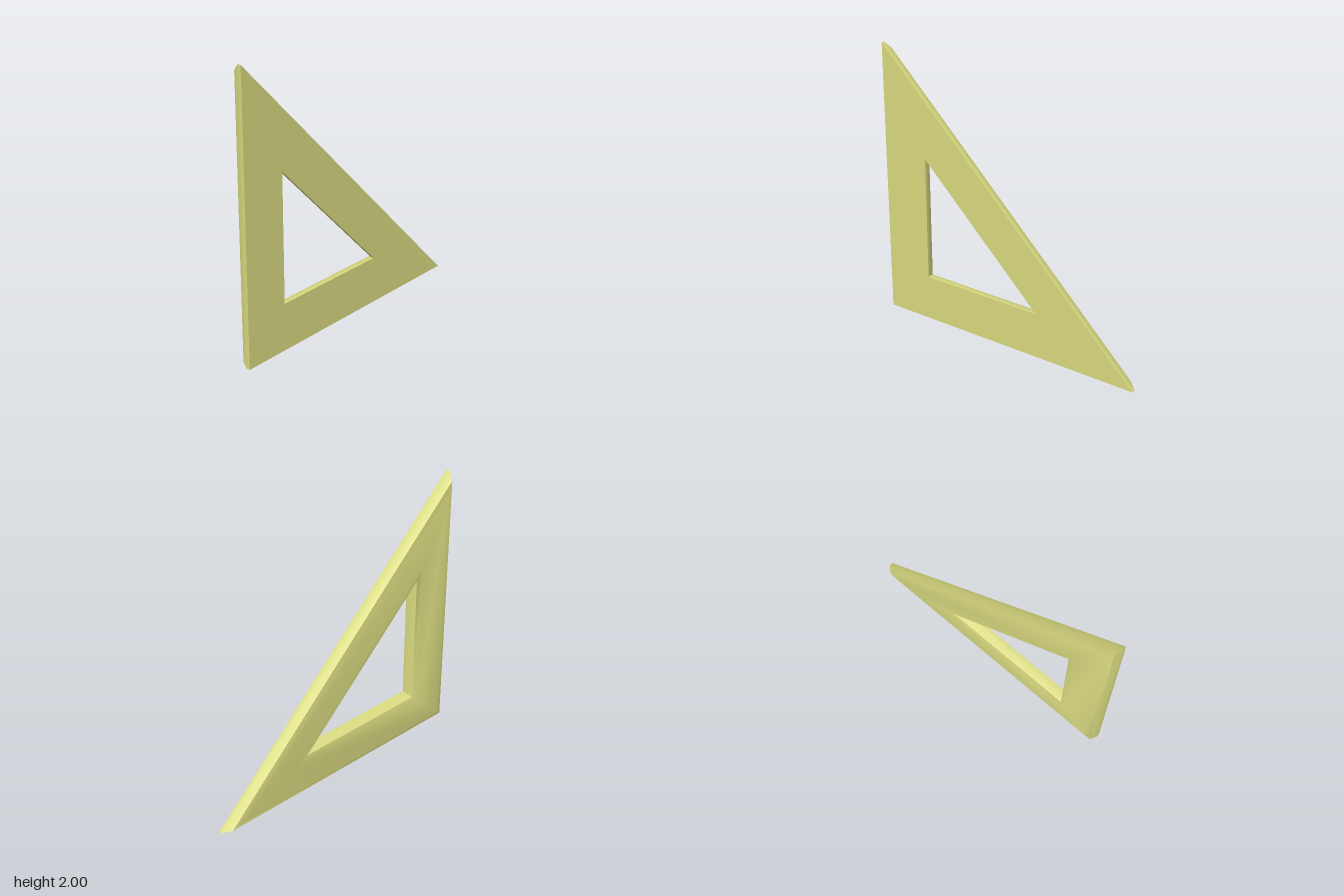
import * as THREE from 'three';
import { toCreasedNormals } from 'three/addons/utils/BufferGeometryUtils.js';

const K = 1 + Math.SQRT2; // how far a 45 degree tip retreats per unit of inset

// Corners of a right triangle inset by d, standing in the plane at x
function triangle(start, leg, d, x) {
  const near = start + d;
  const far = start + leg - d * K;
  return [[near, near], [far, near], [near, far]]
    .map(([a, y]) => [x, y, 1 - a]);
}

export function createModel() {
  const yellow = new THREE.MeshStandardMaterial({ color: 0xd9da80 });

  // Edge profile as [x, inset], from the flat side to the bevelled side
  const edge = [[0.045, 0], [0.02, 0], [-0.03, 0.022], [-0.045, 0.067]];
  const rings = [
    ...edge.map(([x, d]) => triangle(0, 2, d, x)),
    ...edge.map(([x, d]) => triangle(0.335, 0.905, -d, x)).reverse(),
  ];

  // Sweep the closed profile round the three corners
  const positions = [];
  rings.forEach((ring, j) => {
    const next = rings[(j + 1) % rings.length];
    for (let c = 0; c < 3; c++) {
      const e = (c + 1) % 3;
      positions.push(...ring[c], ...next[c], ...next[e]);
      positions.push(...ring[c], ...next[e], ...ring[e]);
    }
  });
  const geometry = new THREE.BufferGeometry();
  geometry.setAttribute('position', new THREE.Float32BufferAttribute(positions, 3));

  const body = new THREE.Mesh(toCreasedNormals(geometry, 0.6), yellow);
  body.name = 'setSquare';

  const group = new THREE.Group();
  group.name = 'triangleRuler';
  group.add(body);
  return group;
}
